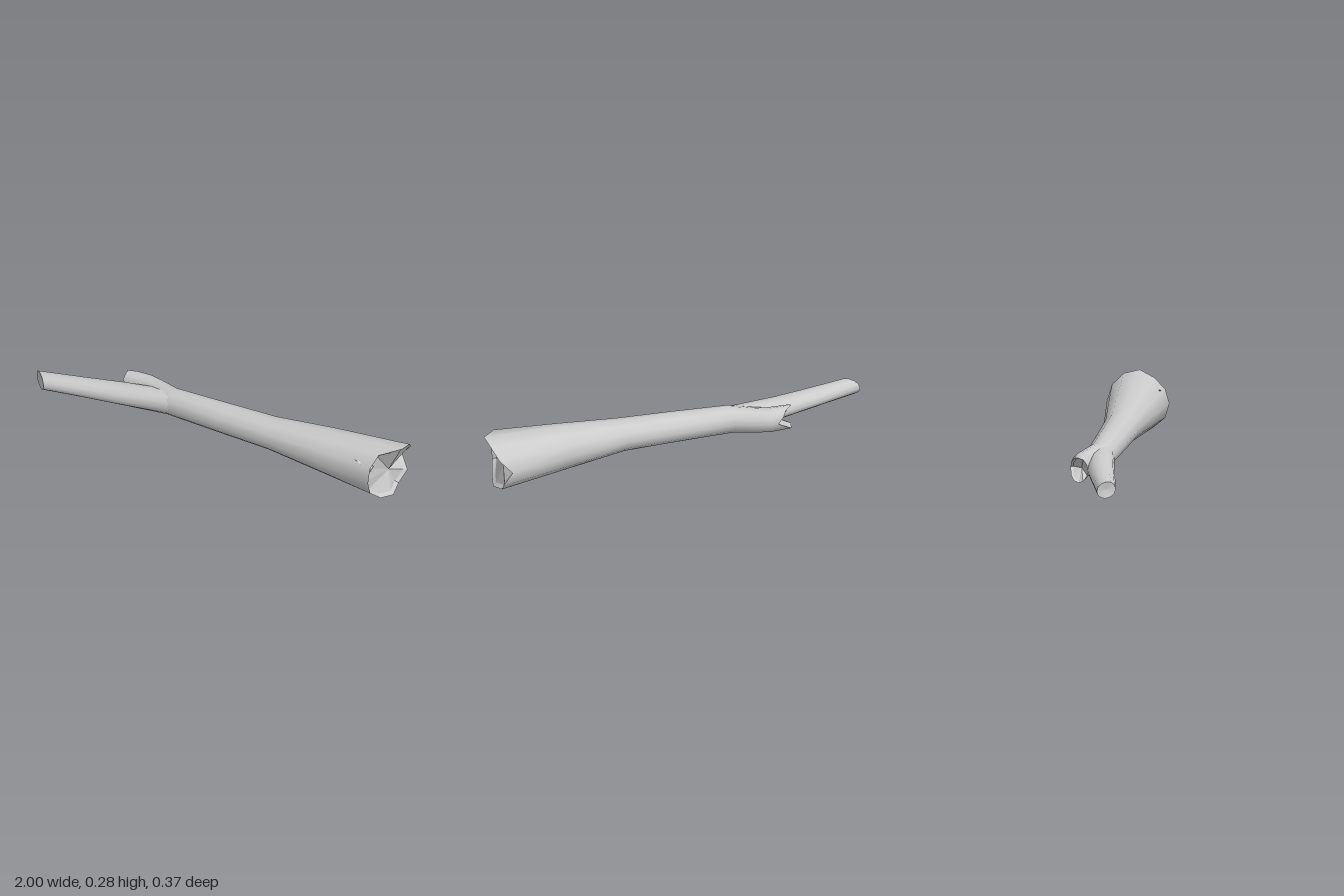
import * as THREE from 'three';

const SIDES = 12;

// Ring around the x axis: angle 0 is +z, a quarter turn is the top.
// xs is one x for a square cut, or a list of x per side for a ragged edge.
function ring(xs, y, z, ry, rz = ry) {
  return Array.from({ length: SIDES }, (_, j) => {
    const a = (j / SIDES) * Math.PI * 2;
    return [Array.isArray(xs) ? xs[j] : xs, y + ry * Math.sin(a), z + rz * Math.cos(a)];
  });
}

// Skin a list of rings given in order of outward surface travel
function loft(name, rings, flat) {
  const index = [];
  for (let i = 0; i < rings.length - 1; i++) {
    for (let j = 0; j < SIDES; j++) {
      const k = (j + 1) % SIDES;
      const a = i * SIDES + j, b = i * SIDES + k;
      index.push(a, a + SIDES, b + SIDES, a, b + SIDES, b);
    }
  }
  const geo = new THREE.BufferGeometry();
  geo.setAttribute('position', new THREE.Float32BufferAttribute(rings.flat(2), 3));
  geo.setIndex(index);
  geo.computeVertexNormals();
  const mesh = new THREE.Mesh(geo, new THREE.MeshStandardMaterial({
    color: 0xcccccc, flatShading: flat, side: THREE.DoubleSide,
  }));
  mesh.name = name;
  return mesh;
}

// Shift ragged x values along the limb
const shift = (xs, d) => xs.map((x) => x + d);

export function createModel() {
  const group = new THREE.Group();
  group.name = 'brokenLog';

  // Ragged edges, from +z over the top to -z and back underneath
  const buttX = [0.89, 0.89, 0.91, 1.0, 1.0, 0.98, 0.92, 0.96, 0.94, 0.95, 0.92, 0.89];
  const stubX = [-0.56, -0.575, -0.57, -0.57, -0.53, -0.51, -0.48, -0.53, -0.56, -0.57, -0.58, -0.54];
  const tipX = Array.from({ length: SIDES }, (_, j) => -0.96 + 0.04 * Math.cos((j / SIDES) * Math.PI * 2));

  // Trunk, bending back into the short stub at its thin end
  const buttRim = ring(buttX, 0.145, 0.028, 0.142, 0.153);
  const stubRim = ring(stubX, 0.1, -0.14, 0.061, 0.046);
  group.add(loft('trunk', [
    stubRim,
    ring(-0.45, 0.104, -0.13, 0.062, 0.056),
    ring(-0.38, 0.108, -0.102, 0.064, 0.064),
    ring(-0.28, 0.115, -0.058, 0.068, 0.068),
    ring(0, 0.128, -0.029, 0.074, 0.078),
    ring(0.28, 0.14, -0.003, 0.08, 0.087),
    ring(0.6, 0.144, 0.013, 0.112, 0.12),
    buttRim,
  ]));

  // Splintered hollow in the thick end
  group.add(loft('trunkBreak', [
    buttRim,
    ring(shift(buttX, -0.015), 0.145, 0.028, 0.124, 0.133),
    ring(0.91, 0.125, 0.0, 0),
  ], true));

  // Splintered end of the stub
  group.add(loft('stubBreak', [
    ring(-0.5, 0.1, -0.13, 0),
    ring(shift(stubX, 0.015), 0.1, -0.138, 0.05, 0.036),
    stubRim,
  ], true));

  // Long branch growing from the fork
  const branchRim = ring(tipX, 0.084, 0.026, 0.041, 0.043);
  group.add(loft('branch', [
    branchRim,
    ring(-0.75, 0.091, -0.005, 0.045, 0.058),
    ring(-0.55, 0.098, -0.033, 0.051, 0.067),
    ring(-0.3, 0.112, -0.053, 0.06, 0.064),
    ring(-0.15, 0.12, -0.045, 0.05, 0.05),
  ]));
  group.add(loft('branchCut', [ring(-0.95, 0.084, 0.026, 0), branchRim], true));

  // Small splinter lifting off the trunk near the thick end
  const splinter = new THREE.Mesh(
    new THREE.ConeGeometry(0.022, 0.1, 3),
    new THREE.MeshStandardMaterial({ color: 0xcccccc, flatShading: true }),
  );
  splinter.name = 'splinter';
  splinter.position.set(0.84, 0.214, 0.139);
  splinter.rotation.z = Math.PI / 2 - 0.35;
  group.add(splinter);

  return group;
}
